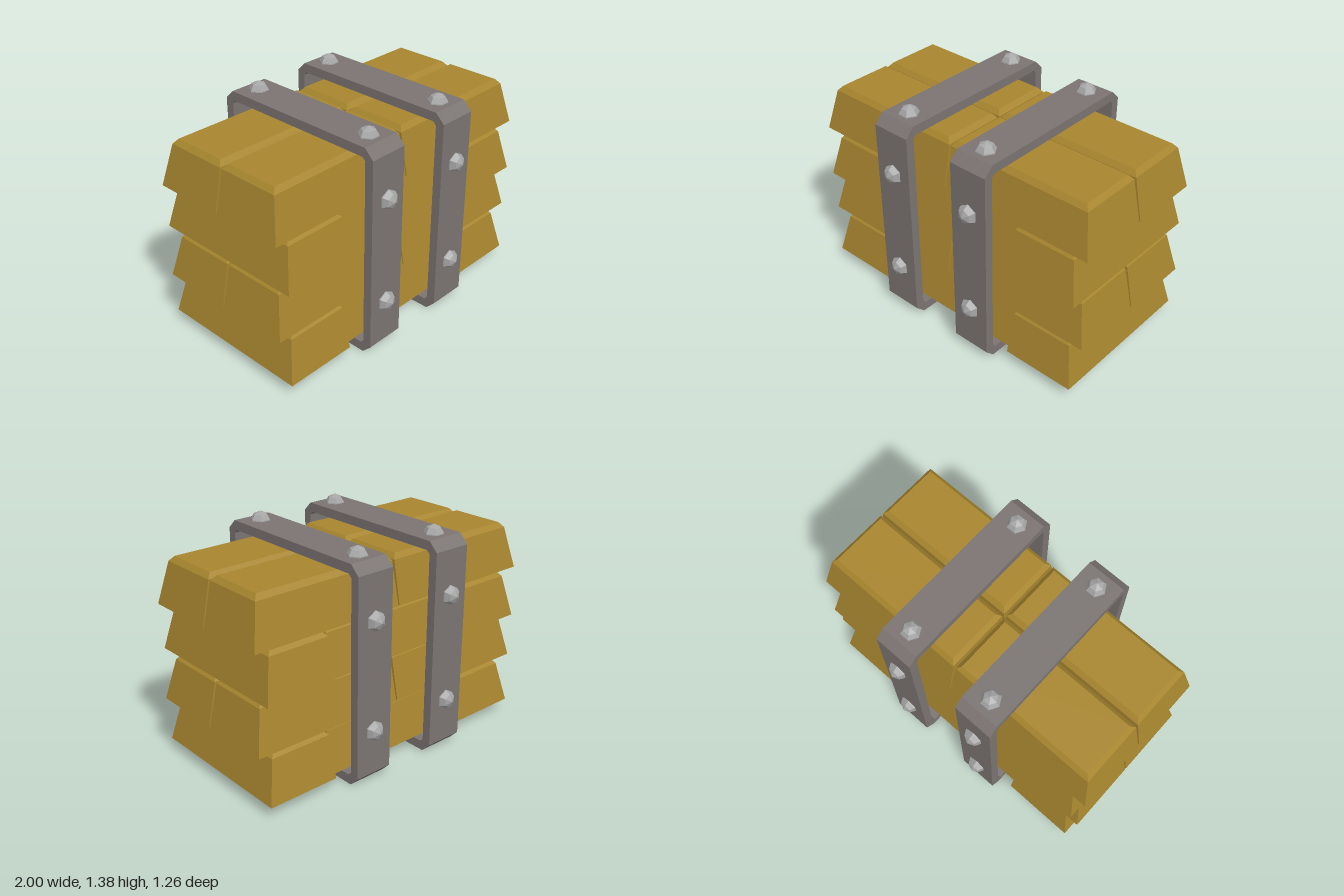
import * as THREE from 'three';

const gold = new THREE.MeshStandardMaterial({ color: 0xa8862f });
gold.name = 'gold';
const iron = new THREE.MeshStandardMaterial({ color: 0x7b7472 });
iron.name = 'strapIron';
const steel = new THREE.MeshStandardMaterial({ color: 0xa6a6a6 });
steel.name = 'boltSteel';

// Faceted normals
function facet(geometry) {
  const g = geometry.index ? geometry.toNonIndexed() : geometry;
  g.computeVertexNormals();
  return g;
}

function add(parent, name, geometry, material) {
  const mesh = new THREE.Mesh(geometry, material);
  mesh.name = name;
  parent.add(mesh);
  return mesh;
}

// Ingot from three stacked rectangles: base, shoulder, chamfered top.
// Sides on the outside of the stack slope; sides facing a neighbour stay upright.
function ingotGeometry(x0, x1, z0, z1, y) {
  const slope = (v) => (Math.abs(v) > 0.9 || Math.abs(v) === 0.46 ? 0.055 : 0.008);
  const slopeZ = (v) => (Math.abs(v) > 0.4 ? 0.055 : 0.008);
  const levels = [[0, 0, 0.004], [0.257, 1, 0], [0.287, 1, 0.026]];
  const pos = [];
  for (const [h, t, inset] of levels) {
    const gap = (s) => (h === 0 && s > 0.01 ? 0 : inset);
    const a = x0 + slope(x0) * t + gap(slope(x0));
    const b = x1 - slope(x1) * t - gap(slope(x1));
    const c = z0 + slopeZ(z0) * t + gap(slopeZ(z0));
    const d = z1 - slopeZ(z1) * t - gap(slopeZ(z1));
    pos.push(a, y + h, d, b, y + h, d, b, y + h, c, a, y + h, c);
  }
  const index = [0, 2, 1, 0, 3, 2, 8, 9, 10, 8, 10, 11];
  for (let r = 0; r < 8; r += 4) {
    for (let i = 0; i < 4; i++) {
      const j = (i + 1) % 4;
      index.push(r + i, r + j, r + 4 + j, r + i, r + 4 + j, r + 4 + i);
    }
  }
  const g = new THREE.BufferGeometry();
  g.setAttribute('position', new THREE.Float32BufferAttribute(pos, 3));
  g.setIndex(index);
  return facet(g);
}

// Rectangle with cut corners
function cutRect(path, w, y0, y1, c) {
  const pts = [[-w + c, y0], [w - c, y0], [w, y0 + c], [w, y1 - c],
    [w - c, y1], [-w + c, y1], [-w, y1 - c], [-w, y0 + c]];
  return path.setFromPoints(pts.map((p) => new THREE.Vector2(...p)));
}

function strapGeometry(width) {
  const shape = cutRect(new THREE.Shape(), 0.577, 0, 1.33, 0.057);
  shape.holes.push(cutRect(new THREE.Path(), 0.522, 0.058, 1.273, 0.02));
  const g = new THREE.ExtrudeGeometry(shape, { depth: width, bevelEnabled: false });
  g.translate(0, 0, -width / 2);
  g.rotateY(-Math.PI / 2);
  return g;
}

// Six-sided domed bolt head, base at the origin, pointing up
function boltGeometry() {
  const profile = [[0.062, -0.005], [0.06, 0.006], [0.042, 0.036], [0, 0.055]];
  return facet(new THREE.LatheGeometry(profile.map((p) => new THREE.Vector2(...p)), 6));
}

export function createModel() {
  const model = new THREE.Group();
  model.name = 'strappedIngotStack';

  // Four alternating layers of ingots
  for (let layer = 0; layer < 4; layer++) {
    const group = new THREE.Group();
    group.name = 'ingotLayer' + (layer + 1);
    const y = 0.07 + layer * 0.3;
    const bar = (...box) => add(group, 'ingot', ingotGeometry(...box, y), gold);
    if (layer % 2) {
      for (const [x0, x1] of [[-1, 0], [0, 1]]) {
        bar(x0, x1, -0.46, 0);
        bar(x0, x1, 0, 0.46);
      }
    } else {
      bar(-0.96, -0.5, -0.5, 0.5);
      bar(0.5, 0.96, -0.5, 0.5);
      bar(-0.5, 0.5, -0.46, 0);
      bar(-0.5, 0.5, 0, 0.46);
    }
    model.add(group);
  }

  // Two straps with bolts on the front, back and top
  const strapGeo = strapGeometry(0.248);
  const boltGeo = boltGeometry();
  for (const x of [-0.29, 0.29]) {
    const strap = new THREE.Group();
    strap.name = x < 0 ? 'rightStrap' : 'leftStrap';
    strap.position.x = x;
    add(strap, 'strapBand', strapGeo, iron);
    for (const side of [1, -1]) {
      const top = add(strap, 'topBolt', boltGeo, steel);
      top.position.set(0, 1.33, 0.43 * side);
      top.rotation.y = Math.PI / 6;
      for (const y of [0.33, 0.997]) {
        const bolt = add(strap, side > 0 ? 'frontBolt' : 'backBolt', boltGeo, steel);
        bolt.position.set(0, y, 0.577 * side);
        bolt.rotation.x = (Math.PI / 2) * side;
      }
    }
    model.add(strap);
  }
  return model;
}
